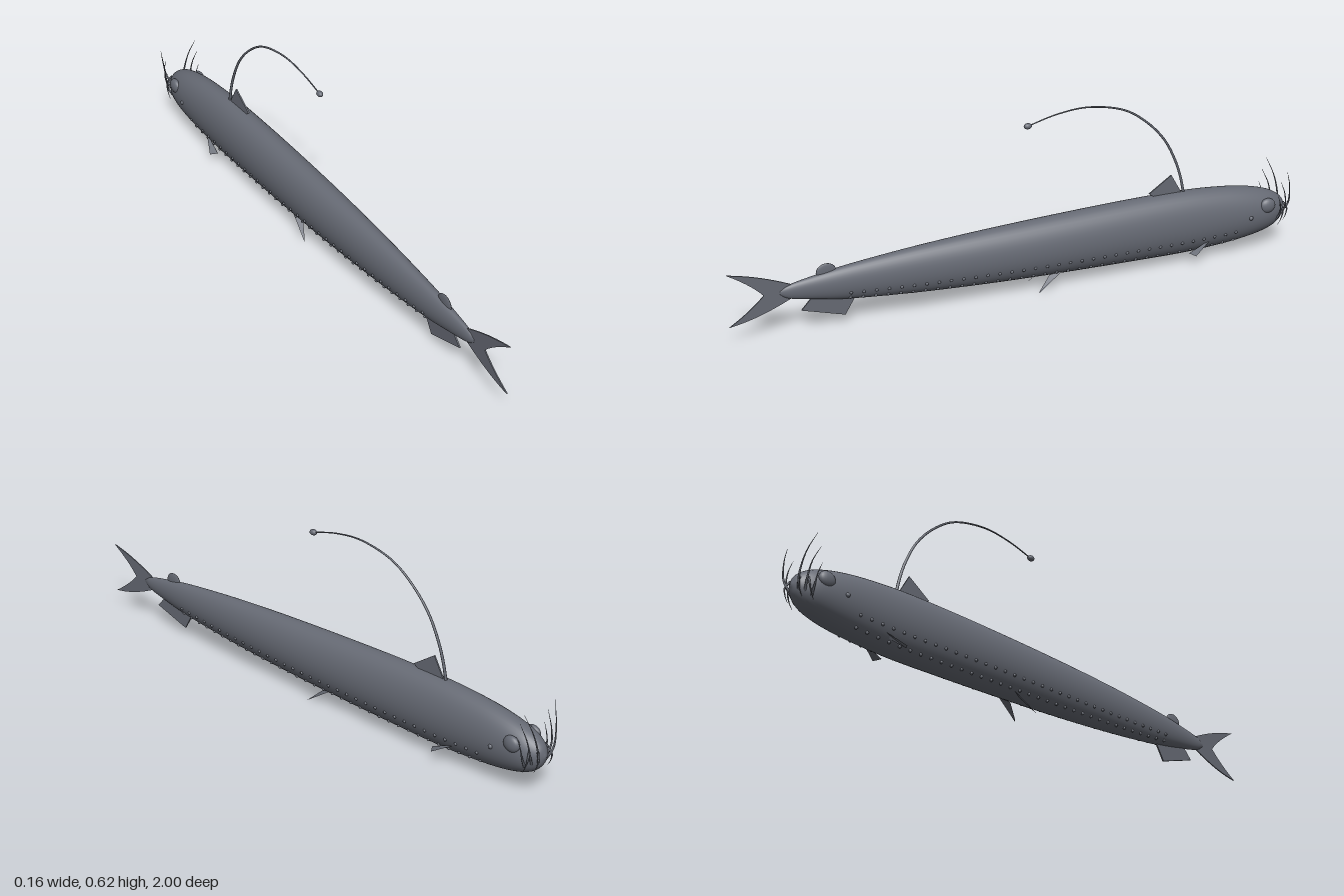
import * as THREE from 'three';
import { mergeGeometries } from 'three/addons/utils/BufferGeometryUtils.js';

const V = (x, y, z) => new THREE.Vector3(x, y, z);

// body stations, head to tail: z, top, bottom, half width
const STATIONS = [
  [-0.996, 0.150, 0.140, 0.004], [-0.985, 0.176, 0.112, 0.025], [-0.96, 0.198, 0.086, 0.043],
  [-0.92, 0.217, 0.068, 0.056], [-0.85, 0.236, 0.052, 0.063], [-0.75, 0.251, 0.041, 0.066],
  [-0.6, 0.261, 0.034, 0.068], [-0.4, 0.261, 0.037, 0.069], [-0.2, 0.256, 0.042, 0.068],
  [0, 0.249, 0.048, 0.064], [0.2, 0.240, 0.057, 0.056], [0.4, 0.227, 0.070, 0.045],
  [0.6, 0.208, 0.089, 0.032], [0.72, 0.190, 0.109, 0.021], [0.8, 0.174, 0.126, 0.012],
  [0.832, 0.158, 0.144, 0.003],
];
const upper = new THREE.CatmullRomCurve3(STATIONS.map(s => V(s[3], s[1], s[0])), false, 'catmullrom');
const lower = new THREE.CatmullRomCurve3(STATIONS.map(s => V(0, s[2], s[0])), false, 'catmullrom');

// point on the skin; angle runs from the back (0) to the belly (PI)
function skin(t, a) {
  const u = upper.getPoint(t), l = lower.getPoint(t);
  return V(u.x * Math.sin(a), (u.y + l.y) / 2 + (u.y - l.y) / 2 * Math.cos(a), u.z);
}

function tAtZ(z) {
  let lo = 0, hi = 1;
  for (let i = 0; i < 30; i++) {
    const m = (lo + hi) / 2;
    if (upper.getPoint(m).z < z) lo = m; else hi = m;
  }
  return lo;
}

function bodyGeometry(rings = 90, sides = 40) {
  const pos = [], idx = [];
  for (let i = 0; i <= rings; i++)
    for (let j = 0; j < sides; j++) pos.push(...skin(i / rings, j / sides * Math.PI * 2).toArray());
  for (let i = 0; i < rings; i++)
    for (let j = 0; j < sides; j++) {
      const k = (j + 1) % sides, a = i * sides + j, b = i * sides + k;
      idx.push(a, b, a + sides, b, b + sides, a + sides);
    }
  // close both ends
  for (const [z, ring] of [[0, 0], [1, rings]]) {
    const c = pos.length / 3, u = upper.getPoint(z), l = lower.getPoint(z);
    pos.push(0, (u.y + l.y) / 2, u.z);
    for (let j = 0; j < sides; j++) {
      const a = ring * sides + j, b = ring * sides + (j + 1) % sides;
      idx.push(...(z ? [c, a, b] : [c, b, a]));
    }
  }
  const g = new THREE.BufferGeometry();
  g.setAttribute('position', new THREE.Float32BufferAttribute(pos, 3));
  g.setIndex(idx);
  g.computeVertexNormals();
  return g;
}

// tube that narrows from r0 to r1
function taperedTube(points, r0, r1, seg = 24, sides = 8) {
  const curve = new THREE.CatmullRomCurve3(points);
  const g = new THREE.TubeGeometry(curve, seg, 1, sides);
  const p = g.attributes.position, v = V(0, 0, 0);
  for (let i = 0; i < p.count; i++) {
    const t = Math.floor(i / (sides + 1)) / seg, c = curve.getPointAt(t);
    v.fromBufferAttribute(p, i).sub(c).multiplyScalar(r0 + (r1 - r0) * t).add(c);
    p.setXYZ(i, v.x, v.y, v.z);
  }
  return g;
}

// thin upright fin from a shape drawn in (z, y)
function uprightFin(shape, depth = 0.005) {
  const g = new THREE.ExtrudeGeometry(shape, { depth, bevelEnabled: false, curveSegments: 10 });
  return g.translate(0, 0, -depth / 2).rotateY(-Math.PI / 2);
}
const polygon = pts => new THREE.Shape(pts.map(p => new THREE.Vector2(...p)));

// four-cornered sheet
function sheet(a, b, c, d) {
  const g = new THREE.BufferGeometry().setFromPoints([a, b, c, a, c, d]);
  g.computeVertexNormals();
  return g;
}

export function createModel() {
  const model = new THREE.Group();
  model.name = 'deepSeaFish';
  const slate = new THREE.MeshStandardMaterial({ color: 0x666a74, side: THREE.DoubleSide });
  slate.name = 'slateGrey';
  const add = (name, geo) => {
    const m = new THREE.Mesh(geo, slate);
    m.name = name;
    model.add(m);
    return m;
  };

  add('body', bodyGeometry());

  // forked tail
  const tail = new THREE.Shape();
  tail.moveTo(0.78, 0.168);
  tail.quadraticCurveTo(0.89, 0.222, 1, 0.243);
  tail.quadraticCurveTo(0.92, 0.195, 0.885, 0.152);
  tail.quadraticCurveTo(0.93, 0.105, 1, 0.063);
  tail.quadraticCurveTo(0.9, 0.075, 0.78, 0.134);
  add('tailFin', uprightFin(tail, 0.004));

  // fins on the midline
  add('dorsalFin', uprightFin(polygon([[-0.595, 0.25], [-0.55, 0.328], [-0.467, 0.272], [-0.5, 0.25]])));
  add('analFin', uprightFin(polygon([[0.58, 0.1], [0.62, 0.034], [0.765, 0.077], [0.73, 0.115]])));
  const adipose = add('adiposeFin', new THREE.SphereGeometry(1, 20, 14));
  adipose.scale.set(0.006, 0.03, 0.034);
  adipose.position.set(0, 0.196, 0.678);

  // long dorsal ray with a bulb at its end
  add('lureRay', taperedTube([V(0, 0.25, -0.6), V(0, 0.31, -0.587), V(0, 0.375, -0.565), V(0, 0.46, -0.52),
    V(0, 0.535, -0.45), V(0, 0.59, -0.365), V(0, 0.619, -0.23), V(0, 0.61, -0.12), V(0, 0.585, -0.02)],
    0.005, 0.002, 48));
  const bulb = add('lureBulb', new THREE.SphereGeometry(0.01, 16, 12));
  bulb.scale.z = 1.4;
  bulb.position.set(0, 0.585, -0.02);

  for (const s of [1, -1]) {
    const side = s > 0 ? 'left' : 'right';
    const P = (x, y, z) => V(s * x, y, z);

    // paired fins
    add(side + 'PectoralFin', sheet(P(0.048, 0.086, -0.69), P(0.08, 0.046, -0.615),
      P(0.056, 0.05, -0.6), P(0.046, 0.066, -0.66)));
    add(side + 'PelvicFin', sheet(P(0.036, 0.062, -0.13), P(0.05, 0.003, -0.04),
      P(0.045, 0.008, -0.045), P(0.022, 0.05, -0.09)));

    // eye and nostril-like spot behind it
    const eye = add(side + 'Eye', new THREE.SphereGeometry(1, 20, 14));
    eye.scale.set(0.016, 0.027, 0.03);
    eye.position.set(s * 0.05, 0.174, -0.905);
    const spot = add(side + 'CheekLight', new THREE.SphereGeometry(0.008, 10, 8));
    spot.position.set(s * 0.062, 0.143, -0.835);

    // curved fangs: three rising from the lower jaw, two hanging from the upper
    const fangs = [
      [P(0.018, 0.125, -0.982), P(0.036, 0.165, -0.996), P(0.053, 0.235, -0.988), P(0.072, 0.3, -0.964)],
      [P(0.03, 0.12, -0.968), P(0.05, 0.16, -0.976), P(0.058, 0.21, -0.968), P(0.066, 0.262, -0.945)],
      [P(0.04, 0.11, -0.95), P(0.058, 0.145, -0.953), P(0.063, 0.18, -0.948), P(0.066, 0.215, -0.935)],
      [P(0.022, 0.165, -0.983), P(0.032, 0.145, -0.994), P(0.034, 0.12, -0.99), P(0.033, 0.1, -0.98)],
      [P(0.038, 0.165, -0.963), P(0.05, 0.145, -0.968), P(0.052, 0.12, -0.963), P(0.05, 0.093, -0.95)],
    ];
    fangs.forEach((pts, i) => add(side + 'Fang' + (i + 1), taperedTube(pts, 0.0042, 0.0004, 14, 7)));

    // two rows of light organs along the belly
    const dots = [];
    for (const angle of [2.05, 2.5])
      for (let i = 0; i < 34; i++) {
        const p = skin(tAtZ(-0.78 + i * 0.042), angle);
        dots.push(new THREE.SphereGeometry(0.0055, 8, 6).translate(s * p.x, p.y, p.z));
      }
    add(side + 'LightOrgans', mergeGeometries(dots));
  }
  return model;
}
